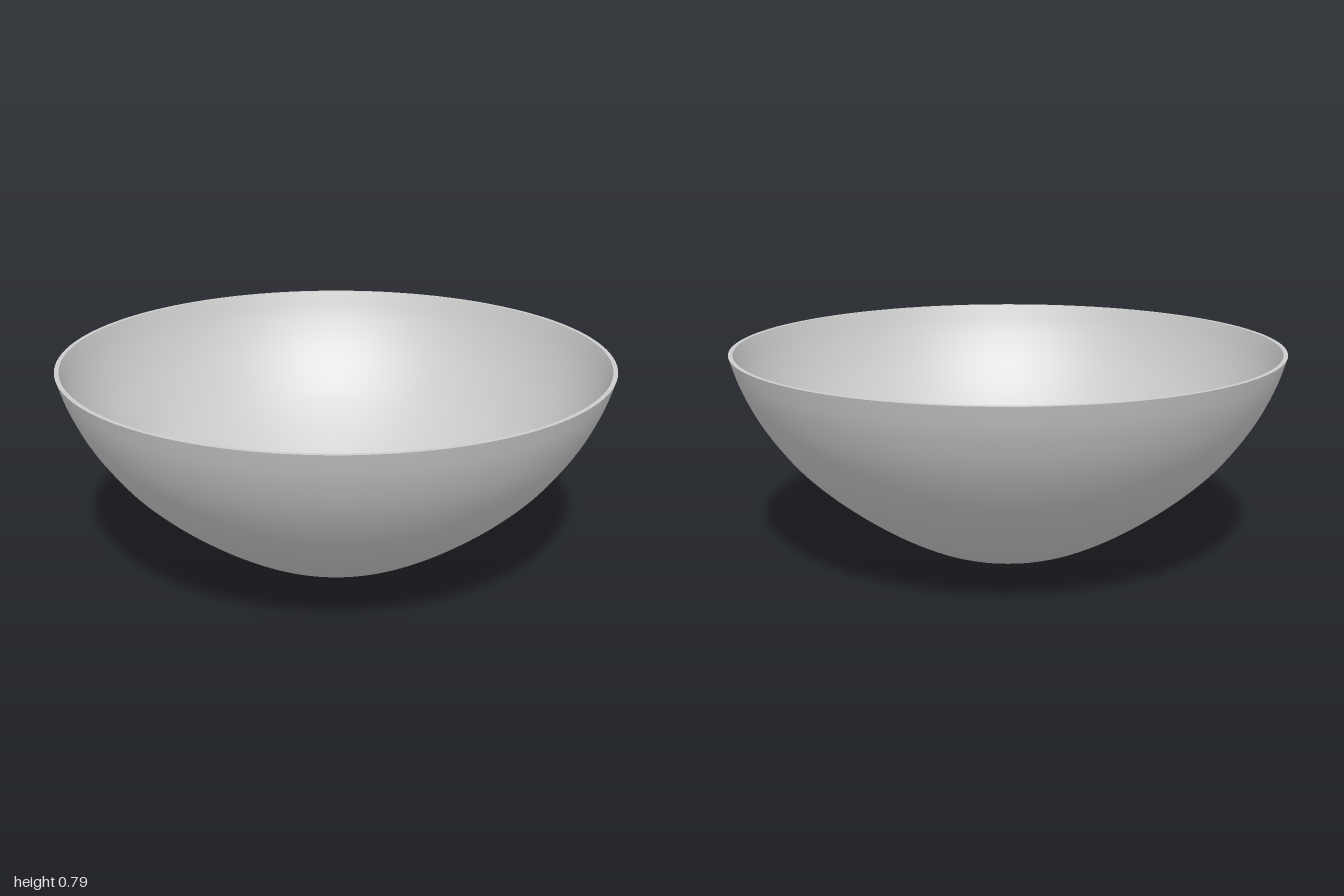
import * as THREE from 'three';

const HOLE = 0.1, WALL = 0.016, STEPS = 40, SIDES = 128;

export function createModel() {
  const model = new THREE.Group();
  model.name = 'bowl';
  const material = new THREE.MeshStandardMaterial({ color: 0xcccccc });

  // Outer wall from the drain hole up to the rim
  const curve = new THREE.SplineCurve([
    [HOLE, 0], [0.2, 0.021], [0.3, 0.053], [0.4, 0.101], [0.5, 0.161], [0.6, 0.231],
    [0.7, 0.312], [0.8, 0.412], [0.9, 0.55], [0.965, 0.68], [1, 0.787],
  ].map(([r, y]) => new THREE.Vector2(r, y)));
  const outer = curve.getSpacedPoints(STEPS);

  // Inner wall: outer wall moved inward along its normal, ends trimmed to hole and rim
  const inner = outer.map((p, i) => {
    const t = curve.getTangentAt(i / STEPS);
    return new THREE.Vector2(p.x - t.y * WALL, p.y + t.x * WALL);
  });
  inner[0].set(HOLE, WALL);
  inner[STEPS].set(1 - WALL, 0.787);

  // Separate lathes keep the edges at the rim and hole sharp
  const addPart = (name, points) => {
    const mesh = new THREE.Mesh(new THREE.LatheGeometry(points, SIDES), material);
    mesh.name = name;
    model.add(mesh);
  };
  addPart('outerWall', outer);
  addPart('rim', [outer[STEPS], inner[STEPS]]);
  addPart('innerWall', inner.slice().reverse());
  addPart('drainHoleWall', [inner[0], outer[0]]);
  return model;
}
